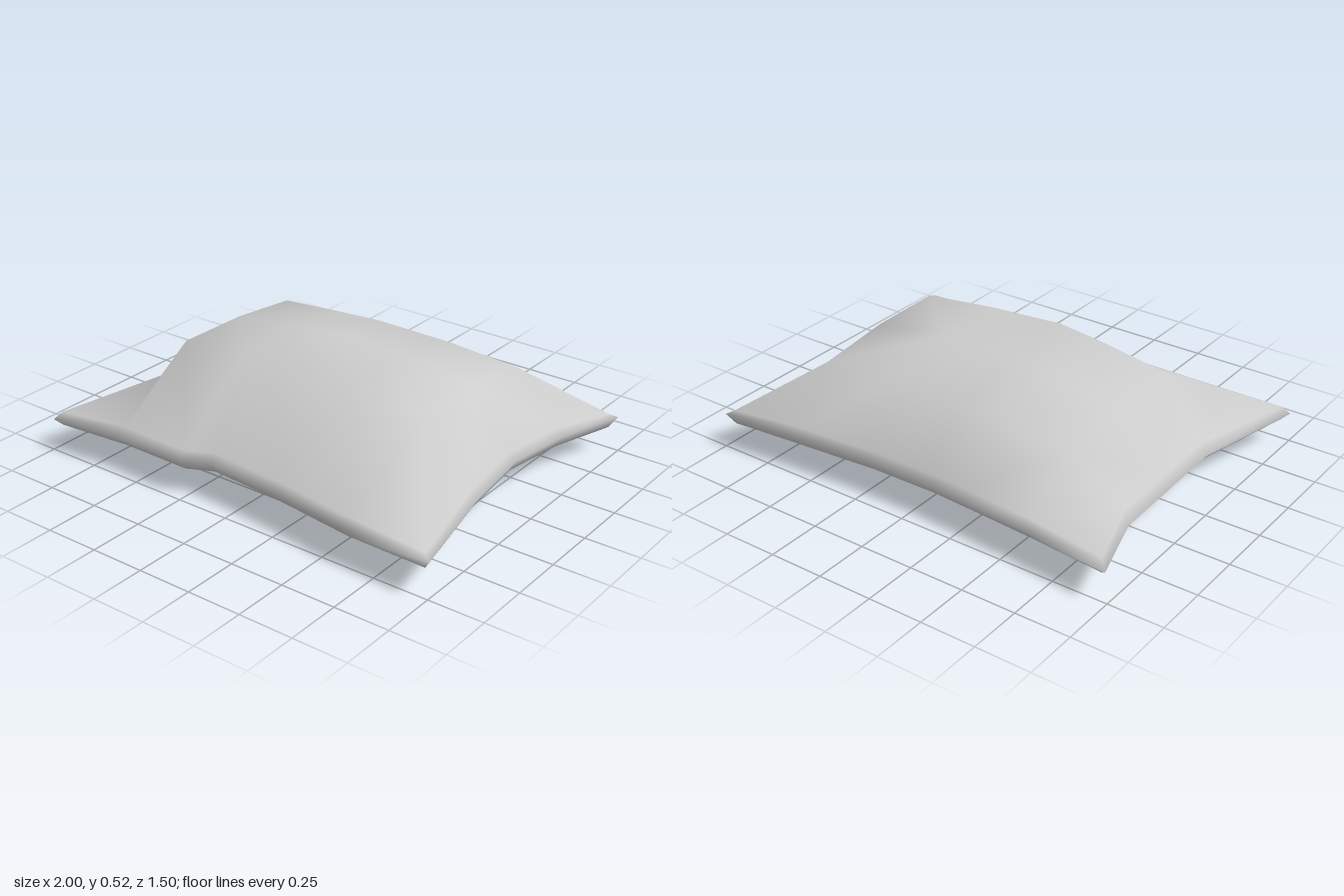
import * as THREE from 'three';

// Pillow as a coarse 7 x 5 grid: rows run back to front, columns along x.
const COLS = 7, ROWS = 5;
const backEdge = [[-0.99, -0.755], [-0.62, -0.715], [-0.28, -0.69], [-0.1, -0.678], [0.22, -0.68], [0.61, -0.71], [0.99, -0.745]];
const frontEdge = [[-1, 0.737], [-0.64, 0.702], [-0.28, 0.707], [-0.16, 0.65], [0.22, 0.68], [0.62, 0.735], [1, 0.748]];
const rightEdge = [[-0.895, -0.44], [-0.888, -0.11], [-0.88, 0.21]];
const leftEdge = [[0.89, -0.44], [0.845, -0.13], [0.89, 0.24]];
const innerX = [-0.64, -0.28, -0.1, 0.28, 0.63];
const innerZ = [-0.46, -0.11, 0.25];
const topHeights = [
  [0.405, 0.43, 0.44, 0.435, 0.41],
  [0.44, 0.49, 0.505, 0.495, 0.45],
  [0.445, 0.5, 0.52, 0.495, 0.455],
];
const bottomHeights = [
  [0.05, 0.035, 0.03, 0.035, 0.05],
  [0.035, 0.01, 0, 0.01, 0.04],
  [0.045, 0.022, 0.018, 0.022, 0.05],
];

const onEdge = (i, j) => i === 0 || j === 0 || i === COLS - 1 || j === ROWS - 1;

// Outline position of a border grid point
function outline(i, j) {
  if (j === 0) return backEdge[i];
  if (j === ROWS - 1) return frontEdge[i];
  return i === 0 ? rightEdge[j - 1] : leftEdge[j - 1];
}

function pillowGeometry() {
  const points = [], index = [];
  const add = (x, y, z) => points.push(x, y, z) / 3 - 1;

  // Cushion face, with its border drawn in slightly from the seam
  function face(heights, rimY, cornerY, up) {
    const id = [];
    for (let j = 0; j < ROWS; j++) {
      id.push([]);
      for (let i = 0; i < COLS; i++) {
        if (onEdge(i, j)) {
          const [x, z] = outline(i, j);
          const corner = i % (COLS - 1) === 0 && j % (ROWS - 1) === 0;
          id[j].push(add(x * 0.967, corner ? cornerY : rimY, z * 0.965));
        } else {
          id[j].push(add(innerX[i - 1], heights[j - 1][i - 1], innerZ[j - 1]));
        }
      }
    }
    for (let j = 0; j < ROWS - 1; j++) {
      for (let i = 0; i < COLS - 1; i++) {
        const a = id[j][i], b = id[j][i + 1], c = id[j + 1][i + 1], d = id[j + 1][i];
        // diagonals lean so one side has ridged corners and the other folded ones
        const tris = j < 2 ? [[a, d, b], [b, d, c]] : [[a, d, c], [a, c, b]];
        for (const t of tris) index.push(...(up ? t : t.reverse()));
      }
    }
    return id;
  }
  const top = face(topHeights, 0.198, 0.18, true);
  const bottom = face(bottomHeights, 0.112, 0.115, false);

  // Border loop, clockwise seen from above
  const loop = [];
  for (let i = 0; i < COLS - 1; i++) loop.push([i, 0]);
  for (let j = 0; j < ROWS - 1; j++) loop.push([COLS - 1, j]);
  for (let i = COLS - 1; i > 0; i--) loop.push([i, ROWS - 1]);
  for (let j = ROWS - 1; j > 0; j--) loop.push([0, j]);

  // Rounded rim joining both faces through the seam
  const seam = loop.map(([i, j]) => {
    const [x, z] = outline(i, j);
    return add(x, 0.153 + 0.01 * x, z);
  });
  loop.forEach(([i, j], k) => {
    const n = (k + 1) % loop.length;
    const [i2, j2] = loop[n];
    const rings = [[top[j][i], top[j2][i2]], [seam[k], seam[n]], [bottom[j][i], bottom[j2][i2]]];
    for (let r = 0; r < 2; r++) {
      const [p, q] = rings[r], [s, t] = rings[r + 1];
      index.push(p, q, t, p, t, s);
    }
  });

  const geometry = new THREE.BufferGeometry();
  geometry.setAttribute('position', new THREE.Float32BufferAttribute(points, 3));
  geometry.setIndex(index);
  geometry.computeVertexNormals();
  return geometry;
}

export function createModel() {
  const fabric = new THREE.MeshStandardMaterial({ color: 0xcccccc });
  fabric.name = 'light grey fabric';
  const pillow = new THREE.Mesh(pillowGeometry(), fabric);
  pillow.name = 'pillow';
  const group = new THREE.Group();
  group.name = 'pillowModel';
  group.add(pillow);
  return group;
}
